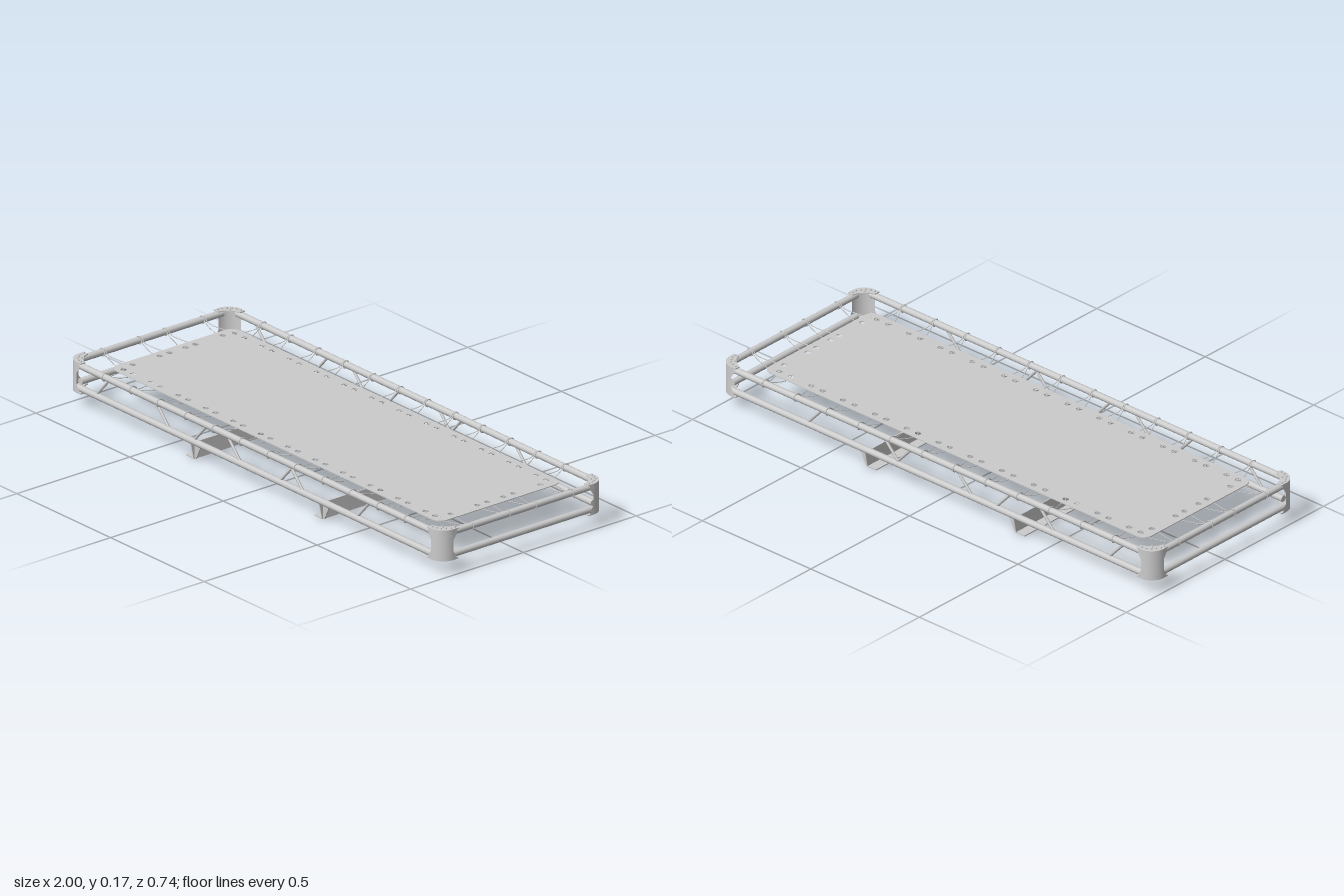
import * as THREE from 'three';

const grey = new THREE.MeshStandardMaterial({ color: 0xcccccc });
const greyThin = new THREE.MeshStandardMaterial({ color: 0xcccccc, side: THREE.DoubleSide });
const RAIL_X = 0.985, RAIL_Z = 0.352, RAIL_R = 0.012, TOP_Y = 0.155, LOW_Y = 0.072;

function add(parent, name, geometry, material = grey) {
  const mesh = new THREE.Mesh(geometry, material);
  mesh.name = name;
  parent.add(mesh);
  return mesh;
}

// Round bar between two points
function bar(parent, name, a, b, radius, sides = 12) {
  const dir = b.clone().sub(a);
  const mesh = add(parent, name, new THREE.CylinderGeometry(radius, radius, dir.length(), sides));
  mesh.position.copy(a).addScaledVector(dir, 0.5);
  mesh.quaternion.setFromUnitVectors(new THREE.Vector3(0, 1, 0), dir.normalize());
  return mesh;
}

// Flat plate: shape drawn in x/z, top face at the given height
function plate(shape, top, depth) {
  const g = new THREE.ExtrudeGeometry(shape, { depth, bevelEnabled: false, curveSegments: 10 });
  return g.rotateX(Math.PI / 2).translate(0, top, 0);
}

// Eyelet and lacing positions along the long and short edges
const longLaces = Array.from({ length: 12 }, (_, i) => -0.81 + i * 0.1465);
const shortLaces = [-0.225, -0.06, 0.055, 0.218];
const GAP = 0.026;

function makeSheet() {
  const w = 0.88, d = 0.275, r = 0.04;
  const s = new THREE.Shape();
  s.moveTo(-w + r, -d);
  s.lineTo(w - r, -d);
  s.quadraticCurveTo(w, -d, w, -d + r);
  s.lineTo(w, d - r);
  s.quadraticCurveTo(w, d, w - r, d);
  s.lineTo(-w + r, d);
  s.quadraticCurveTo(-w, d, -w, d - r);
  s.lineTo(-w, -d + r);
  s.quadraticCurveTo(-w, -d, -w + r, -d);
  const hole = (x, z) => s.holes.push(new THREE.Path().absarc(x, z, 0.011, 0, Math.PI * 2, true));
  for (const side of [-1, 1]) {
    for (const x of longLaces) for (const k of [-GAP, GAP]) hole(x + k, side * 0.247);
    for (const z of shortLaces) for (const k of [-0.022, 0.022]) {
      if (Math.abs(z + k) < 0.22) hole(side * 0.848, z + k);
    }
  }
  return plate(s, 0.147, 0.003);
}

// Cord from one eyelet, under the hem, over the rail and back to the next eyelet
function lace(parent, at, edge, rail, toWorld, alongX) {
  const half = [
    [GAP, edge - 0.03, 0.149], [GAP - 0.001, edge - 0.02, 0.141], [GAP - 0.004, edge + 0.005, 0.141],
    [0.005, rail - 0.025, 0.151], [0.003, rail - 0.01, 0.167], [0.001, rail, 0.169],
  ];
  const points = [...half, ...half.slice().reverse().map(([s, o, y]) => [-s, o, y])]
    .map(([s, o, y]) => toWorld(at + s, y, o));
  add(parent, 'lacingCord', new THREE.TubeGeometry(new THREE.CatmullRomCurve3(points, false, 'centripetal'), 30, 0.0017, 5));
  const ring = add(parent, 'lacingLoop', new THREE.TorusGeometry(0.0135, 0.002, 5, 14));
  ring.position.copy(toWorld(at, TOP_Y, rail));
  if (alongX) ring.rotation.y = Math.PI / 2;
}

// Curved corner wall whose straight ends flare out at top and bottom
function cornerWall() {
  const rows = [[0.056, 0.016], [0.072, 0.012], [0.088, 0], [0.13, 0], [0.148, 0.012], [0.168, 0.016]];
  const steps = 12, cols = steps + 3, pos = [], index = [];
  for (const [y, e] of rows) {
    pos.push(0.945 - e, y, 0.365);
    for (let i = 0; i <= steps; i++) {
      const a = (i / steps) * Math.PI / 2;
      pos.push(0.945 + 0.055 * Math.sin(a), y, 0.31 + 0.055 * Math.cos(a));
    }
    pos.push(1, y, 0.31 - e);
  }
  for (let j = 0; j < rows.length - 1; j++) {
    for (let i = 0; i < cols - 1; i++) {
      const a = j * cols + i, b = a + cols;
      index.push(a, a + 1, b, a + 1, b + 1, b);
    }
  }
  const g = new THREE.BufferGeometry();
  g.setAttribute('position', new THREE.Float32BufferAttribute(pos, 3));
  g.setIndex(index);
  g.computeVertexNormals();
  return g;
}

function makeCorner() {
  const corner = new THREE.Group();
  corner.name = 'cornerBracket';
  add(corner, 'cornerWall', cornerWall(), greyThin);
  const s = new THREE.Shape();
  s.moveTo(0.925, 0.365);
  s.lineTo(0.925, 0.343);
  s.lineTo(0.945, 0.335);
  s.lineTo(0.97, 0.31);
  s.lineTo(0.978, 0.288);
  s.lineTo(1, 0.288);
  s.lineTo(1, 0.31);
  s.absarc(0.945, 0.31, 0.055, 0, Math.PI / 2, false);
  add(corner, 'cornerTopPlate', plate(s, 0.17, 0.004));
  add(corner, 'cornerBottomPlate', plate(s, 0.06, 0.004));
  // Rivets on the top plate
  for (const [x, z] of [[0.937, 0.354], [0.954, 0.35], [0.97, 0.342], [0.979, 0.328], [0.988, 0.313], [0.989, 0.297], [0.963, 0.329]]) {
    const rivet = add(corner, 'rivet', new THREE.CylinderGeometry(0.004, 0.0055, 0.005, 8));
    rivet.position.set(x, 0.172, z);
  }
  return corner;
}

// Angle-section cross beam: foot flange, upright web and end gussets
function makeBeam(x) {
  const beam = new THREE.Group();
  beam.name = 'crossBeam';
  const web = new THREE.Shape();
  web.moveTo(-0.342, 0);
  web.lineTo(0.342, 0);
  web.lineTo(0.355, 0.062);
  web.lineTo(-0.355, 0.062);
  add(beam, 'beamWeb', new THREE.ExtrudeGeometry(web, { depth: 0.004, bevelEnabled: false }).rotateY(Math.PI / 2));
  add(beam, 'beamFoot', new THREE.BoxGeometry(0.04, 0.004, 0.684)).position.set(-0.018, 0.002, 0);
  const tri = new THREE.Shape();
  tri.moveTo(0, 0.002);
  tri.lineTo(0.012, 0.002);
  tri.lineTo(0.04, 0.062);
  tri.lineTo(0, 0.062);
  for (const side of [-1, 1]) {
    const gusset = add(beam, 'beamGusset', new THREE.ExtrudeGeometry(tri, { depth: 0.004, bevelEnabled: false }));
    gusset.position.z = side * 0.338 - 0.002;
  }
  beam.position.x = x;
  return beam;
}

export function createModel() {
  const model = new THREE.Group();
  model.name = 'stretcher';
  const V = (x, y, z) => new THREE.Vector3(x, y, z);

  // Upper and lower rails on all four sides
  for (const side of [-1, 1]) {
    for (const [name, y] of [['upper', TOP_Y], ['lower', LOW_Y]]) {
      bar(model, name + 'SideRail', V(-0.95, y, side * RAIL_Z), V(0.95, y, side * RAIL_Z), RAIL_R);
      bar(model, name + 'EndRail', V(side * RAIL_X, y, -0.315), V(side * RAIL_X, y, 0.315), RAIL_R);
    }
  }

  // Diagonal braces, leaning opposite ways front and back
  [-0.82, -0.5, -0.3, -0.12, 0.16, 0.215, 0.57].forEach((x, i) => {
    for (const side of [-1, 1]) {
      const lean = 0.038 * side * (i % 2 ? -1 : 1);
      bar(model, 'diagonalBrace', V(x - lean, LOW_Y, side * RAIL_Z), V(x + lean, TOP_Y, side * RAIL_Z), 0.005, 8);
    }
  });

  for (const sx of [-1, 1]) for (const sz of [-1, 1]) {
    const corner = makeCorner();
    corner.scale.set(sx, 1, sz);
    model.add(corner);
  }

  model.add(makeBeam(-0.35), makeBeam(0.335));
  add(model, 'canvasSheet', makeSheet());

  // Lacing between sheet and upper rails
  for (const side of [-1, 1]) {
    for (const x of longLaces) lace(model, x, 0.275, RAIL_Z, (s, y, o) => V(s, y, side * o), true);
    for (const z of shortLaces) lace(model, z, 0.88, RAIL_X, (s, y, o) => V(side * o, y, s), false);
  }
  return model;
}
